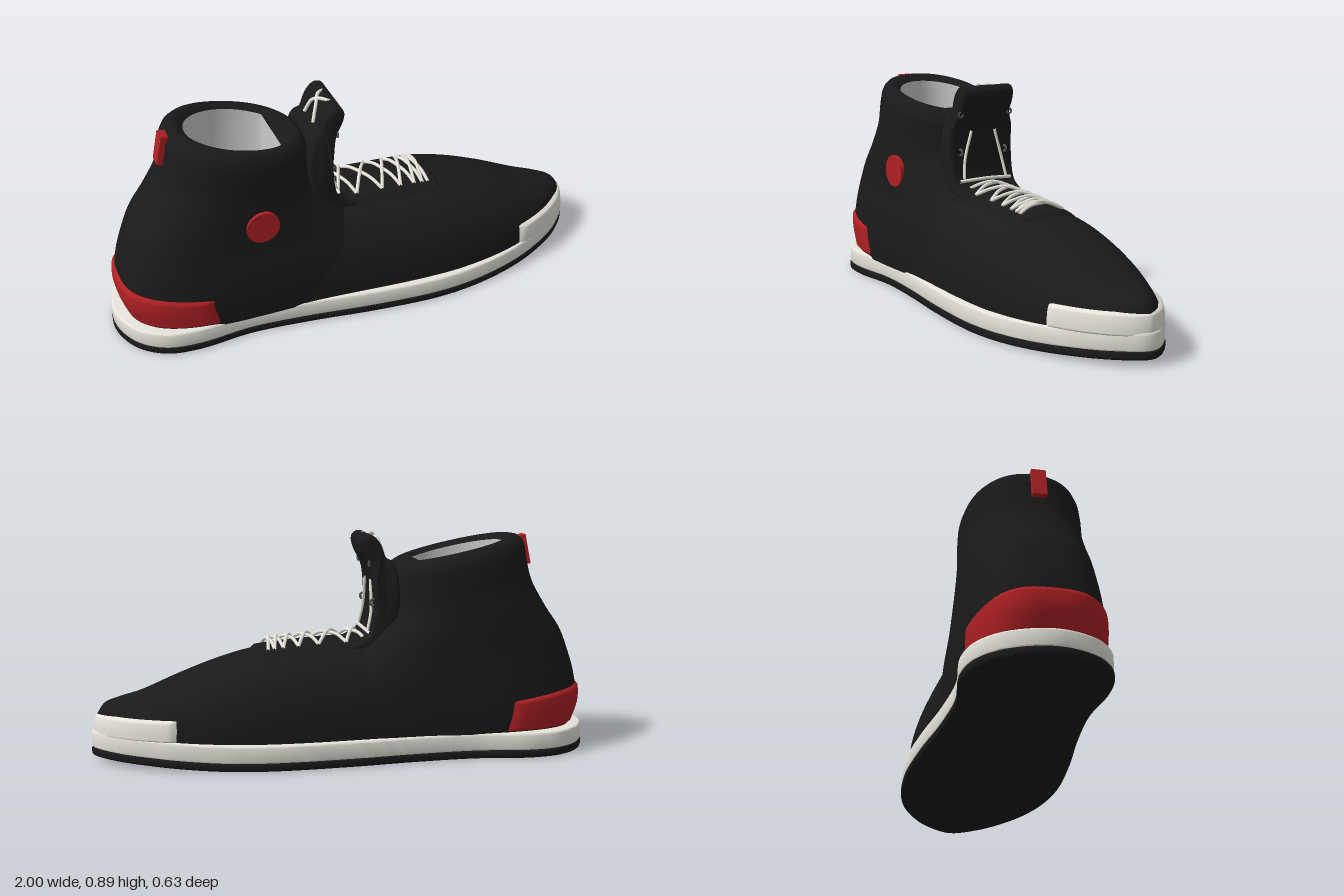
import * as THREE from 'three';
import { toCreasedNormals } from 'three/addons/utils/BufferGeometryUtils.js';
import { ParametricGeometry } from 'three/addons/geometries/ParametricGeometry.js';

const mat = (color) => new THREE.MeshStandardMaterial({ color, side: THREE.DoubleSide });
const { lerp, smoothstep, clamp } = THREE.MathUtils;

// smooth interpolation of rows [key, a, b, ...]
function sample(rows, k) {
  let i = 0;
  while (i < rows.length - 2 && k > rows[i + 1][0]) i++;
  const r0 = rows[Math.max(i - 1, 0)], r1 = rows[i], r2 = rows[i + 1], r3 = rows[Math.min(i + 2, rows.length - 1)];
  const d = r2[0] - r1[0], t = clamp((k - r1[0]) / d, 0, 1), t2 = t * t, t3 = t2 * t;
  return r1.map((_, c) => {
    const m1 = (r2[c] - r0[c]) / (r2[0] - r0[0]) * d, m2 = (r3[c] - r1[c]) / (r3[0] - r1[0]) * d;
    return (2 * t3 - 3 * t2 + 1) * r1[c] + (t3 - 2 * t2 + t) * m1 + (3 * t2 - 2 * t3) * r2[c] + (t3 - t2) * m2;
  });
}

function surface(fn, nu, nv) {
  const g = new ParametricGeometry((u, v, p) => p.set(...fn(u, v)), nu, nv);
  g.computeVertexNormals();
  return g;
}
const spow = (c, e) => Math.sign(c) * Math.pow(Math.abs(c), e);

// ankle: y, back x, front x, half width, squareness
const ANKLE = [
  [0.09, -0.93, 0.15, 0.25, 3], [0.2, -0.965, 0.15, 0.255, 3], [0.3, -0.955, 0.12, 0.25, 3],
  [0.4, -0.925, 0.0, 0.24, 2.9], [0.5, -0.885, -0.1, 0.235, 2.6], [0.57, -0.83, -0.16, 0.232, 2.4],
  [0.65, -0.772, -0.18, 0.228, 2.3], [0.72, -0.748, -0.185, 0.228, 2.3], [0.77, -0.74, -0.18, 0.226, 2.2],
];
const RIM = [
  [0.795, -0.728, -0.187, 0.217, 2.2], [0.812, -0.71, -0.2, 0.205, 2.2], [0.82, -0.69, -0.215, 0.19, 2.1],
  [0.817, -0.668, -0.235, 0.174, 2.1], [0.8, -0.652, -0.25, 0.163, 2],
];
const LINING = [
  [0.8, -0.652, -0.25, 0.163, 2], [0.74, -0.655, -0.25, 0.163, 2], [0.6, -0.68, -0.25, 0.16, 2],
  [0.4, -0.72, -0.25, 0.16, 2], [0.2, -0.75, -0.25, 0.16, 2], [0.2, -0.4, -0.39, 0.004, 2],
];
function ringPoint([y, xb, xf, w, n], a, out = 0, maxX = 9) {
  const c = Math.cos(a), s = Math.sin(a);
  const x = Math.min((xb + xf) / 2 + (xf - xb) / 2 * spow(c, 2 / n) + c * out, maxX);
  const z = w * spow(s, 2 / n) + s * out - 0.012 * smoothstep(y, 0.2, 0.6);
  return [x, y - 0.22 * (x + 0.45) * smoothstep(y, 0.5, 0.8), z];
}

// forefoot: half width, top height and dome section along x
const HEIGHT = [[-0.3, 0.465], [-0.1, 0.46], [0.1, 0.45], [0.35, 0.425], [0.5, 0.385], [0.65, 0.33],
  [0.8, 0.27], [0.9, 0.245], [0.95, 0.225], [0.98, 0.18]];
const footH = (x) => sample(HEIGHT, x)[1];
const footW = (x) => x < 0.3 ? lerp(0.25, 0.287, smoothstep(x, -0.35, 0.3))
  : 0.287 * Math.pow(Math.max(0, 1 - Math.pow((x - 0.3) / 0.68, 2.2)), 0.62);
const footY = (x, z) => 0.09 + (footH(x) - 0.09) * Math.pow(Math.max(0, 1 - Math.pow(Math.abs(z) / footW(x), 2.5)), 0.4);

// sole outline, x and z
const SOLE = [[-1, 0], [-0.95, 0.15], [-0.85, 0.23], [-0.72, 0.252], [-0.5, 0.238], [-0.25, 0.26], [0, 0.295], [0.3, 0.316],
  [0.55, 0.285], [0.75, 0.22], [0.92, 0.115], [1, 0], [0.92, -0.12], [0.75, -0.225], [0.55, -0.29], [0.3, -0.316],
  [0, -0.298], [-0.25, -0.268], [-0.5, -0.255], [-0.72, -0.28], [-0.85, -0.25], [-0.95, -0.16]];
function soleSlab(y0, y1, bevel, inset) {
  const curve = new THREE.CatmullRomCurve3(SOLE.map(([x, z]) => new THREE.Vector3(x, -z, 0)), true, 'centripetal');
  const shape = new THREE.Shape(curve.getPoints(140).slice(0, 140).map((p) => new THREE.Vector2(p.x, p.y)));
  const g = new THREE.ExtrudeGeometry(shape, { depth: y1 - y0 - 2 * bevel, bevelThickness: bevel, bevelSize: bevel,
    bevelOffset: -bevel - inset, bevelSegments: 3, steps: 1 });
  g.rotateX(-Math.PI / 2).translate(0, y0 + bevel, 0);
  const p = g.attributes.position;
  for (let i = 0; i < p.count; i++) p.setY(i, p.getY(i) + 0.025 * smoothstep(p.getX(i), 0.35, 1.1)); // toe spring
  return toCreasedNormals(g, 0.7);
}

export function createModel() {
  const group = new THREE.Group();
  const black = mat(0x1a1a1a), white = mat(0xe6e4da), red = mat(0xb02024), grey = mat(0xcccccc), metal = mat(0x555555);
  const add = (name, geo, m) => {
    const mesh = new THREE.Mesh(geo, m);
    mesh.name = name;
    group.add(mesh);
    return mesh;
  };
  const tube = (name, pts, r = 0.007) => add(name, new THREE.TubeGeometry(
    new THREE.CatmullRomCurve3(pts.map((p) => new THREE.Vector3(...p))), 20, r, 8), white);

  add('outsole', soleSlab(0, 0.036, 0.01, 0), black);
  add('midsole', soleSlab(0.03, 0.1, 0.008, 0.002), white);

  // ankle wall with padded collar, and the lining inside
  add('ankle', surface((u, v) => {
    const k = v * 45, a = u * Math.PI * 2;
    if (k <= 40) return ringPoint(sample(ANKLE, lerp(0.09, 0.77, k / 40)), a);
    const i = Math.min(4, Math.round(k - 41));
    return ringPoint(RIM[Math.max(0, i)], a, 0, i === 4 ? -0.31 : 9);
  }, 96, 45), black);
  add('lining', surface((u, v) => ringPoint(LINING[Math.min(5, Math.round(v * 5))], u * Math.PI * 2, 0, -0.31), 64, 5), grey);

  add('forefoot', surface((u, v) => {
    const x = -0.28 + 1.26 * Math.sin(v * Math.PI / 2), a = u * Math.PI;
    return [x, 0.09 + (footH(x) - 0.09) * Math.pow(Math.max(0, Math.sin(a)), 0.8), footW(x) * spow(Math.cos(a), 0.8)];
  }, 48, 56), black);

  // raised shells, thinning to nothing at their borders
  const edge = (u, v, d) => d * Math.min(1, 40 * Math.min(u, 1 - u), 12 * Math.min(v, 1 - v)) - 0.002;
  add('heelCounter', surface((u, v) => {
    const s = 2 * u - 1, y = 0.1 + v * (0.17 - 0.045 * s * s);
    return ringPoint(sample(ANKLE, y), Math.PI + s * 1.29, edge(u, v, 0.012));
  }, 64, 24), red);
  add('toeCap', surface((u, v) => {
    const a = (2 * u - 1) * Math.PI / 2, x = 0.68 + 0.3 * Math.cos(a), o = edge(u, v, 0.014), t = v * v * v;
    return [x + Math.cos(a) * (o - 0.015 * t), lerp(0.105, 0.192, v), Math.sign(a) * footW(x) * (1 - 0.05 * t) + Math.sin(a) * o];
  }, 64, 20), white);
  add('lacePanel', surface((u, v) => {
    const x = lerp(-0.16, 0.36, u), z = lerp(0.14, -0.14, v);
    return [x, footY(x, z) + edge(u, v, 0.014), z];
  }, 60, 30), black);

  // tongue: side profile swept across, narrower above the collar
  const prof = new THREE.Shape();
  prof.moveTo(-0.03, 0.44);
  prof.splineThru([[-0.1, 0.49], [-0.122, 0.6], [-0.115, 0.73], [-0.075, 0.82], [-0.07, 0.86], [-0.095, 0.87],
    [-0.125, 0.84], [-0.15, 0.78], [-0.185, 0.75], [-0.195, 0.6], [-0.15, 0.46]].map((p) => new THREE.Vector2(...p)));
  const tongue = new THREE.ExtrudeGeometry(prof, { depth: 0.26, bevelThickness: 0.015, bevelSize: 0.012, bevelSegments: 4, curveSegments: 50 });
  tongue.translate(0, 0, -0.13);
  const tp = tongue.attributes.position;
  for (let i = 0; i < tp.count; i++) tp.setZ(i, tp.getZ(i) * lerp(1, 0.82, smoothstep(tp.getY(i), 0.7, 0.79)));
  add('tongue', toCreasedNormals(tongue, 0.8), black);

  // criss-cross laces over the instep
  const rows = [-0.08, 0.0, 0.11, 0.19, 0.25, 0.285, 0.31];
  for (const s of [1, -1]) {
    for (let i = 0; i < rows.length - 1; i++) {
      const [x0, x1] = [rows[i], rows[i + 1]], xm = (x0 + x1) / 2;
      const at = (x, z, d) => [x, footY(x, z) + d, z];
      tube('lace', [at(x0, s * 0.1, 0.016), at(lerp(x0, x1, 0.25), s * 0.05, 0.03),
        at(xm, 0, 0.036 + 0.004 * s), at(lerp(x0, x1, 0.75), -s * 0.05, 0.03), at(x1, -s * 0.1, 0.016)]);
    }
    // upright laces, hooks, eyelets and the crossing behind the tongue tip
    tube('uprightLace', [[-0.085, 0.5, s * 0.1], [-0.102, 0.58, s * 0.088], [-0.105, 0.7, s * 0.055]], 0.006);
    tube('topLace', [[-0.16, 0.8, s * 0.045], [-0.138, 0.86, s * 0.02], [-0.115, 0.882, -s * 0.02], [-0.085, 0.876, -s * 0.045]]);
    const hook = add('laceHook', new THREE.TorusGeometry(0.012, 0.005, 8, 16), metal);
    hook.position.set(-0.107, 0.615, s * 0.105);
    const eyelet = add('eyelet', new THREE.TorusGeometry(0.01, 0.004, 8, 20), metal);
    eyelet.position.set(-0.088, 0.77, s * 0.115);
    eyelet.rotation.y = Math.PI / 2;
  }
  tube('laceBar', [[-0.085, 0.5, 0.12], [-0.08, 0.505, 0], [-0.085, 0.5, -0.12]]);

  // round side patch, on the +z side only
  const patch = add('sidePatch', new THREE.CylinderGeometry(0.066, 0.066, 0.15, 40), red);
  patch.rotation.x = Math.PI / 2;
  patch.position.set(-0.435, 0.503, 0.158);

  const tab = add('pullTab', new THREE.BoxGeometry(0.03, 0.12, 0.055), red);
  tab.position.set(-0.748, 0.805, 0);
  tab.rotation.z = -0.2;

  return group;
}
